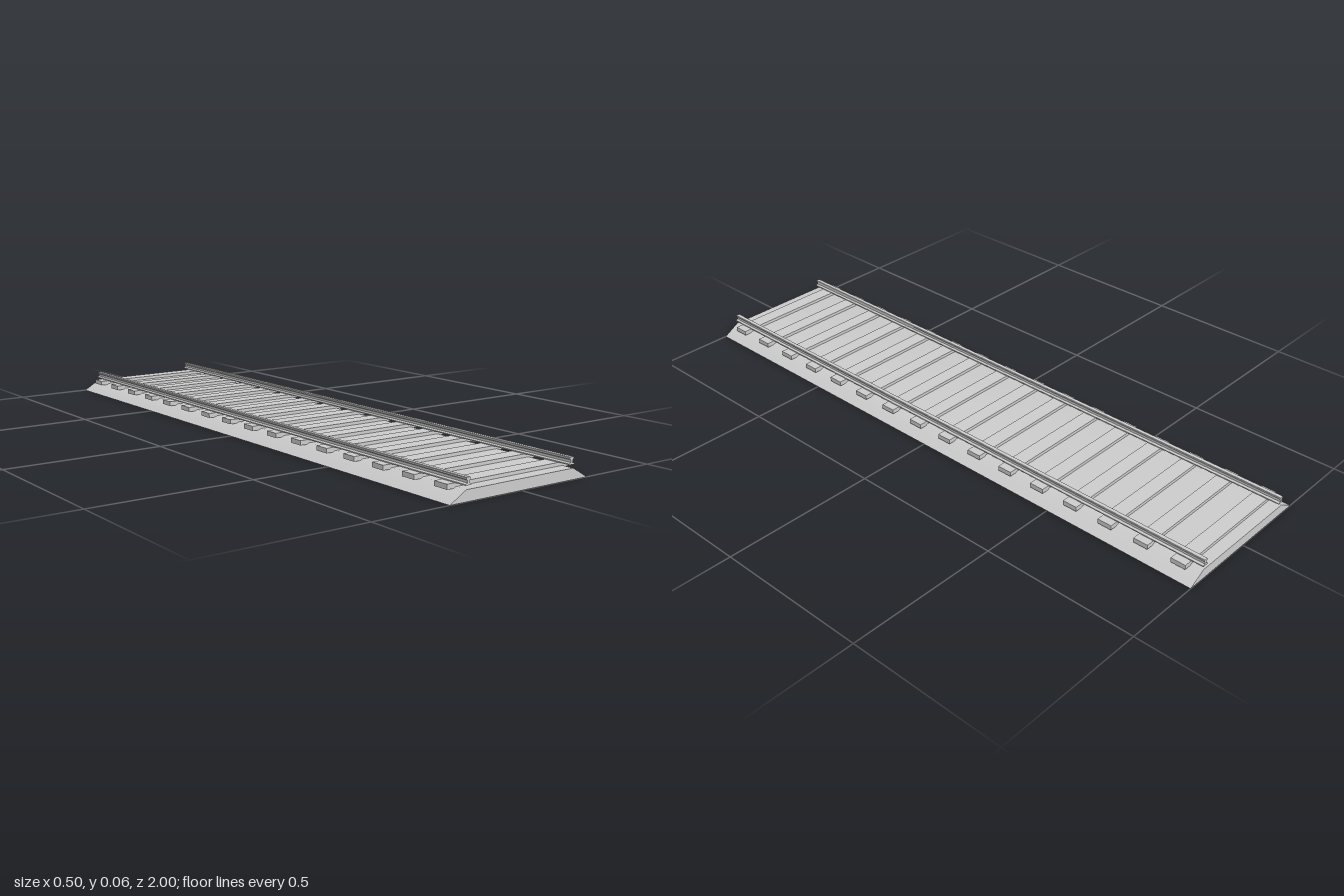
import * as THREE from 'three';
import { toCreasedNormals } from 'three/addons/utils/BufferGeometryUtils.js';

const LENGTH = 2;

// Extrude an x/y outline along the whole track, centred on z
function extrudeAlongTrack(points) {
  const shape = new THREE.Shape(points.map(([x, y]) => new THREE.Vector2(x, y)));
  const geometry = new THREE.ExtrudeGeometry(shape, { depth: LENGTH, bevelEnabled: false });
  return geometry.translate(0, 0, -LENGTH / 2);
}

export function createModel() {
  const track = new THREE.Group();
  track.name = 'railwayTrack';
  const grey = new THREE.MeshStandardMaterial({ color: 0xcccccc });
  grey.name = 'light grey';

  const add = (name, geometry, parent = track) => {
    const mesh = new THREE.Mesh(geometry, grey);
    mesh.name = name;
    parent.add(mesh);
    return mesh;
  };

  // Ballast bed: softly shaded shoulders, sharp ends and underside
  const bed = extrudeAlongTrack([[-0.25, 0], [0.25, 0], [0.195, 0.032], [-0.195, 0.032]]);
  add('ballastBed', toCreasedNormals(bed, 0.6));

  // Sleepers
  const sleepers = new THREE.Group();
  sleepers.name = 'sleepers';
  track.add(sleepers);
  const count = 16;
  const pitch = LENGTH / count;
  const sleeperGeometry = new THREE.BoxGeometry(0.45, 0.0145, 0.048);
  for (let i = 0; i < count; i++) {
    add('sleeper', sleeperGeometry, sleepers)
      .position.set(0, 0.0352, -LENGTH / 2 + (i + 0.5) * pitch);
  }

  // Rails: right half of the profile, mirrored to the left
  const half = [
    [0.0105, 0.0424], [0.0105, 0.0455], [0.0035, 0.0485], [0.0035, 0.0555],
    [0.007, 0.058], [0.007, 0.0625], [0.006, 0.0638],
  ];
  const profile = [...half, ...half.map(([x, y]) => [-x, y]).reverse()];
  const railGeometry = extrudeAlongTrack(profile);
  for (const side of [1, -1]) {
    add(side > 0 ? 'leftRail' : 'rightRail', railGeometry).position.x = side * 0.188;
  }

  return track;
}
